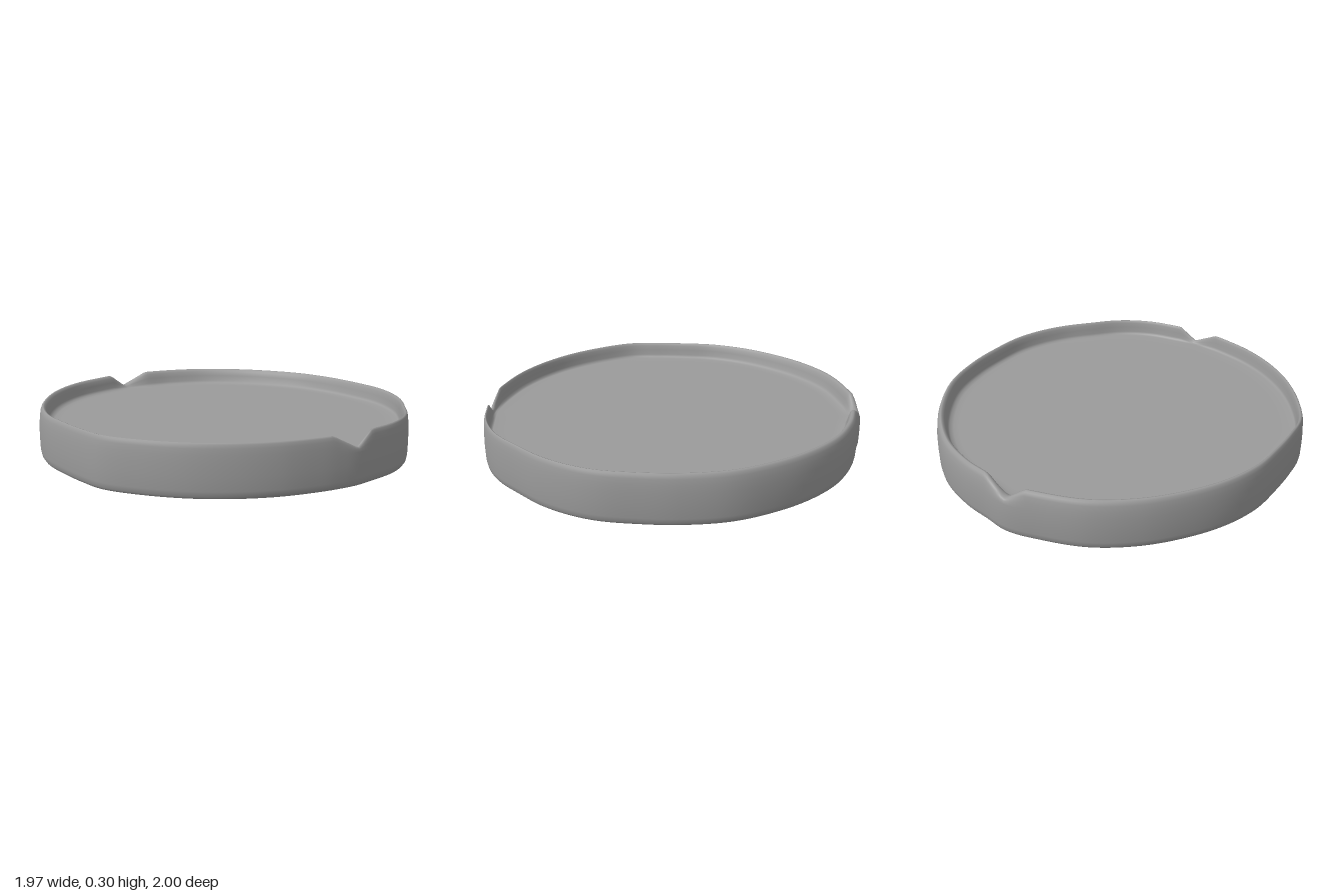
import * as THREE from 'three';

// Irregular plan outline (x, z), starting at the back and running via +x to the front
const OUTLINE = [
  [-0.23, -0.998], [-0.08, -1], [0.08, -0.998], [0.3, -0.95], [0.52, -0.83], [0.7, -0.67], [0.83, -0.5],
  [0.92, -0.28], [0.963, -0.08], [0.982, 0.1], [0.965, 0.25], [0.91, 0.42], [0.82, 0.58], [0.73, 0.72],
  [0.64, 0.81], [0.53, 0.882], [0.4, 0.932], [0.26, 0.978], [0.15, 0.992], [0.05, 0.995], [-0.15, 0.98],
  [-0.35, 0.925], [-0.55, 0.825], [-0.73, 0.68], [-0.865, 0.52], [-0.92, 0.36], [-0.96, 0.18], [-0.985, 0],
  [-0.965, -0.2], [-0.9, -0.4], [-0.78, -0.62], [-0.61, -0.805], [-0.4, -0.93],
];

// Section from underside centre, up the wall, over the rim to the floor centre.
// scale: size relative to the outline; rim: extra inset in rim widths; y: height
const SECTION = [
  { scale: 0, y: 0.004 }, { scale: 0.25, y: 0.008 }, { scale: 0.5, y: 0.019 }, { scale: 0.75, y: 0.028 },
  { scale: 0.93, y: 0.035 }, { scale: 0.97, y: 0.038 }, { scale: 0.985, y: 0.043 }, { scale: 0.993, y: 0.055 },
  { scale: 0.998, y: 0.08 }, { scale: 1, y: 0.15 }, { scale: 0.999, y: 0.21 },
  { rim: 0.1, y: 0.25 }, { rim: 0.18, y: 0.28 }, { rim: 0.3, y: 0.297 }, { rim: 0.45, y: 0.305 },
  { rim: 0.62, y: 0.303 }, { rim: 0.78, y: 0.29 }, { rim: 0.9, y: 0.265 }, { rim: 1.0, y: 0.235 },
  { rim: 1.15, y: 0.222 }, { rim: 1.5, y: 0.216 },
  { scale: 0.88, y: 0.215 }, { scale: 0.5, y: 0.215 }, { scale: 0, y: 0.215 },
];

// V-shaped nicks in the rim: x where each starts, bottoms out and ends
const NOTCHES = [
  { side: 1, from: 0.11, low: 0.26, to: 0.36 },
  { side: -1, from: -0.335, low: -0.235, to: -0.085 },
];
const NOTCH_FLOOR = 0.218;

// 0 away from a notch, 1 at its lowest point
function notchDepth(x, z) {
  let depth = 0;
  for (const n of NOTCHES) {
    if (z * n.side < 0.5 || x < n.from || x > n.to) continue;
    depth = x < n.low ? (x - n.from) / (n.low - n.from) : (n.to - x) / (n.to - n.low);
  }
  return depth;
}

function dishGeometry(n = 320) {
  const curve = new THREE.CatmullRomCurve3(
    OUTLINE.map(([x, z]) => new THREE.Vector3(x, 0, z)), true, 'centripetal');
  const edge = curve.getSpacedPoints(n).slice(0, n);
  const positions = [], index = [];
  const last = SECTION.length - 1;

  SECTION.forEach(({ scale, rim, y }, j) => {
    edge.forEach((p, i) => {
      const rimWidth = 0.046 - 0.016 * p.z; // rim is thinner toward the front
      const s = rim === undefined ? scale : 1 - rim * rimWidth / Math.hypot(p.x, p.z);
      // Only the rim above the notch floor is pressed down
      const lowered = Math.max(0, y - NOTCH_FLOOR) * 0.85 * notchDepth(p.x, p.z);
      positions.push(p.x * s, y - lowered, p.z * s);

      // Single triangles at the two centres, quads everywhere else
      if (j === last) return;
      const a = j * n + i, b = j * n + (i + 1) % n;
      if (j < last - 1) index.push(a, a + n, b + n);
      else index.push(a, a + n, b);
      if (j > 0 && j < last - 1) index.push(a, b + n, b);
    });
  });

  const geometry = new THREE.BufferGeometry();
  geometry.setAttribute('position', new THREE.Float32BufferAttribute(positions, 3));
  geometry.setIndex(index);
  geometry.computeVertexNormals();
  return geometry;
}

export function createModel() {
  const group = new THREE.Group();
  group.name = 'shallowDish';
  // Underside, wall, rim and floor as one continuous smooth skin
  const dish = new THREE.Mesh(dishGeometry(), new THREE.MeshStandardMaterial({ color: 0x9b9b9b }));
  dish.name = 'dishBody';
  group.add(dish);
  return group;
}
